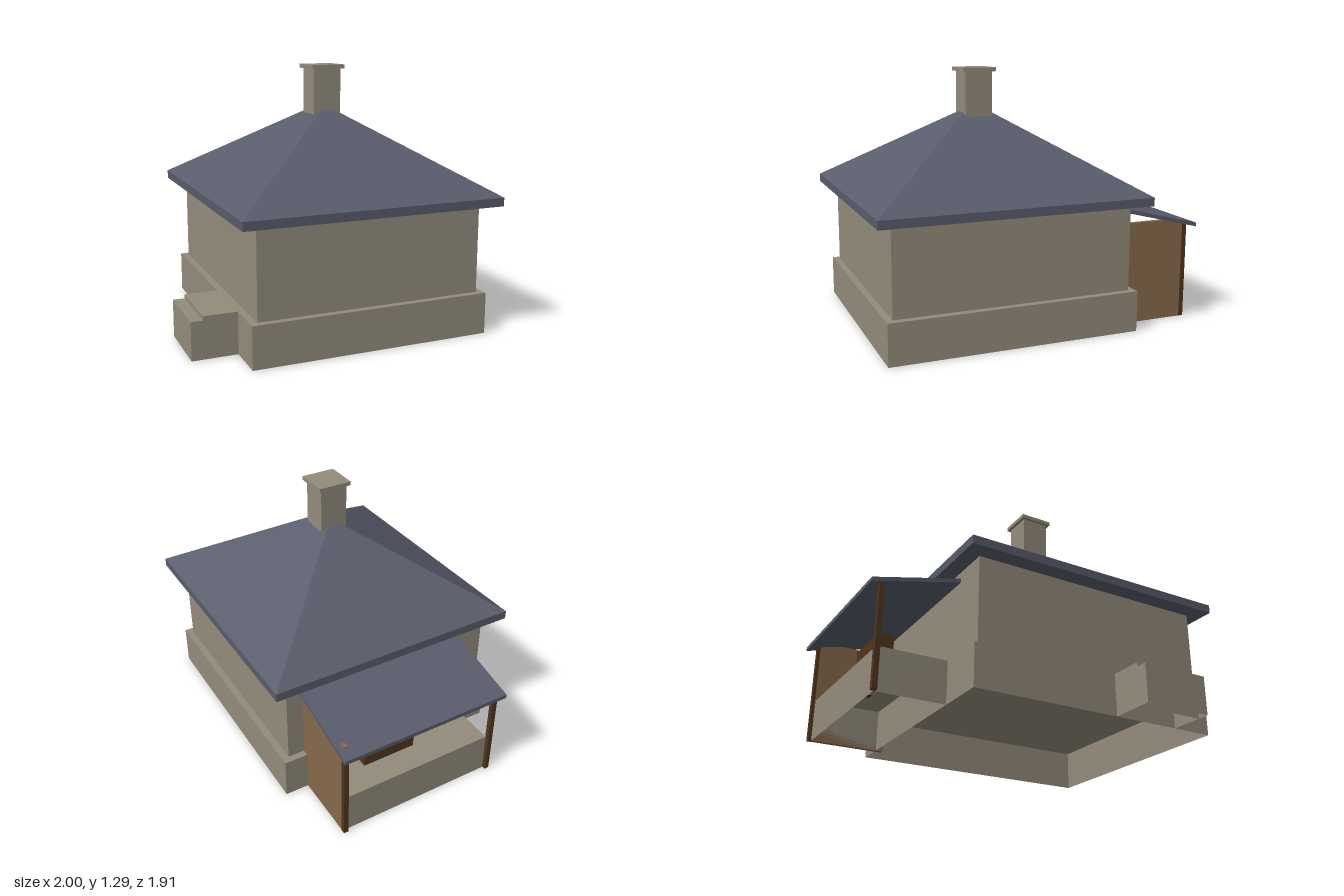
import * as THREE from 'three';

const stone = new THREE.MeshStandardMaterial({ color: 0x938b7b, side: THREE.DoubleSide });
stone.name = 'stone';
const slate = new THREE.MeshStandardMaterial({ color: 0x585c6b });
slate.name = 'slate';
const wood = new THREE.MeshStandardMaterial({ color: 0x86694b });
wood.name = 'wood';
const darkWood = new THREE.MeshStandardMaterial({ color: 0x50341c });
darkWood.name = 'darkWood';

// Box between two limits on each axis; move(x, y, z) may reshape its vertices
function block(name, material, [x0, x1], [y0, y1], [z0, z1], { open = false, move } = {}) {
  const geo = new THREE.BoxGeometry(x1 - x0, y1 - y0, z1 - z0);
  geo.translate((x0 + x1) / 2, (y0 + y1) / 2, (z0 + z1) / 2);
  if (open) { // leave out the bottom face
    const index = Array.from(geo.index.array);
    index.splice(18, 6);
    geo.setIndex(index);
  }
  if (move) {
    const p = geo.attributes.position;
    for (let i = 0; i < p.count; i++) p.setXYZ(i, ...move(p.getX(i), p.getY(i), p.getZ(i)));
    geo.computeVertexNormals();
  }
  const mesh = new THREE.Mesh(geo, material);
  mesh.name = name;
  return mesh;
}

const sym = (h) => [-h, h];

export function createModel() {
  const house = new THREE.Group();
  house.name = 'house';

  // Hollow plinth and walls
  house.add(block('plinth', stone, sym(0.635), [0, 0.205], sym(0.597), { open: true }));
  house.add(block('walls', stone, sym(0.602), [0.205, 0.64], sym(0.562)));

  // Entrance step in two levels
  house.add(block('upperStep', stone, [0.093, 0.43], [0, 0.205], [0.597, 0.76], { open: true }));
  house.add(block('lowerStep', stone, [0.093, 0.43], [0, 0.185], [0.76, 0.817], { open: true }));

  // Eaves slab and hipped roof with a small flat top
  house.add(block('eaves', slate, sym(0.681), [0.64, 0.682], sym(0.648)));
  house.add(block('hippedRoof', slate, sym(0.681), [0.682, 1.065], sym(0.648), {
    move: (x, y, z) => (y > 0.9 ? [Math.sign(x) * 0.073, y, Math.sign(z) * 0.037] : [x, y, z]),
  }));

  // Chimney
  house.add(block('chimneyShaft', stone, sym(0.071), [1.0, 1.27], sym(0.071)));
  house.add(block('chimneyCap', stone, sym(0.0865), [1.27, 1.29], sym(0.0865)));

  // Porch: deck, lean-to roof, posts, side screen and cabinet
  const porch = new THREE.Group();
  porch.name = 'porch';
  porch.add(block('deck', stone, [-0.97, -0.635], [0, 0.205], [-0.455, 0.345], { open: true }));
  porch.add(block('leanToRoof', slate, [-1.03, -0.6], [0.48, 0.5], [-0.504, 0.385], {
    move: (x, y, z) => [x, y + (x + 1.03) * 0.25, z],
  }));
  for (const z of [-0.468, 0.36]) {
    porch.add(block('porchPost', darkWood, [-0.987, -0.963], [0, 0.495], [z - 0.012, z + 0.012]));
  }
  porch.add(block('sideScreen', wood, [-0.972, -0.6], [0, 0.522], [-0.478, -0.455]));
  porch.add(block('cabinet', darkWood, [-0.837, -0.757], [0.205, 0.43], [-0.28, 0]));
  house.add(porch);

  // The house stands turned on its plot
  house.rotation.y = THREE.MathUtils.degToRad(-34);
  house.position.set(0.07, 0, 0.036);

  const model = new THREE.Group();
  model.name = 'model';
  model.add(house);
  return model;
}
